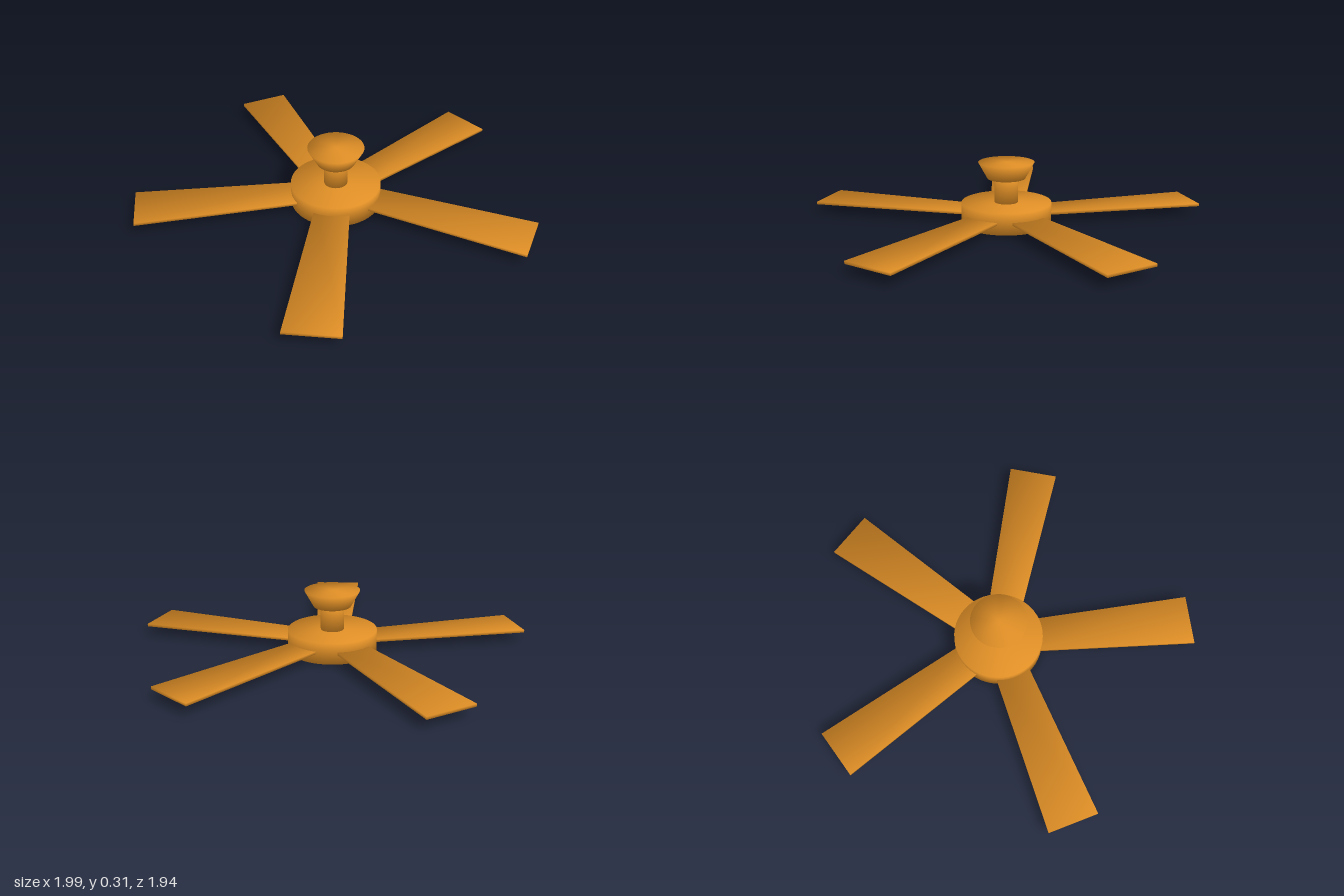
import * as THREE from 'three';

// Blend the normals of all faces meeting at each corner, for a soft all-round finish
function soften(geometry) {
  const p = geometry.attributes.position, n = geometry.attributes.normal;
  const key = (a, i) => [a.getX(i), a.getY(i), a.getZ(i)].map(v => Math.round(v * 1e4)).join();
  const sums = new Map(), seen = new Set(), v = new THREE.Vector3();
  for (let i = 0; i < p.count; i++) {
    const k = key(p, i), id = k + '|' + key(n, i);
    if (seen.has(id)) continue;
    seen.add(id);
    if (!sums.has(k)) sums.set(k, new THREE.Vector3());
    sums.get(k).add(v.fromBufferAttribute(n, i));
  }
  for (let i = 0; i < p.count; i++) {
    v.copy(sums.get(key(p, i))).normalize();
    n.setXYZ(i, v.x, v.y, v.z);
  }
  return geometry;
}

// Flat blade along +x that widens towards the tip
function bladeGeometry(inner, outer, rootWidth, tipWidth, thickness) {
  const g = new THREE.BoxGeometry(outer - inner, thickness, 1);
  g.translate((inner + outer) / 2, 0, 0);
  const p = g.attributes.position;
  const middle = (inner + outer) / 2;
  for (let i = 0; i < p.count; i++) {
    p.setZ(i, p.getZ(i) * (p.getX(i) > middle ? tipWidth : rootWidth));
  }
  return soften(g);
}

export function createModel() {
  const model = new THREE.Group();
  model.name = 'ceilingFan';
  const wood = new THREE.MeshStandardMaterial({ color: 0xe08f26 });
  wood.name = 'orange wood';

  const fan = new THREE.Group();
  fan.name = 'fan';
  fan.position.z = 0.029;
  model.add(fan);

  // Round parts stacked up the axis: name, top radius, bottom radius, from y, to y
  const roundParts = [
    ['motorHousing', 0.226, 0.226, 0, 0.108],
    ['downrod', 0.059, 0.059, 0.1, 0.235],
    ['ceilingCanopy', 0.14, 0.095, 0.23, 0.312],
  ];
  for (const [name, top, bottom, y0, y1] of roundParts) {
    const mesh = new THREE.Mesh(soften(new THREE.CylinderGeometry(top, bottom, y1 - y0, 48)), wood);
    mesh.name = name;
    mesh.position.y = (y0 + y1) / 2;
    fan.add(mesh);
  }

  // Five slightly unevenly spaced blades
  const blade = bladeGeometry(0.15, 1.0, 0.17, 0.255, 0.014);
  [18.2, 91.8, 165.5, 240.6, 313.4].forEach((degrees, i) => {
    const mesh = new THREE.Mesh(blade, wood);
    mesh.name = 'blade' + (i + 1);
    mesh.position.y = 0.055;
    mesh.rotation.y = THREE.MathUtils.degToRad(degrees);
    fan.add(mesh);
  });

  return model;
}
